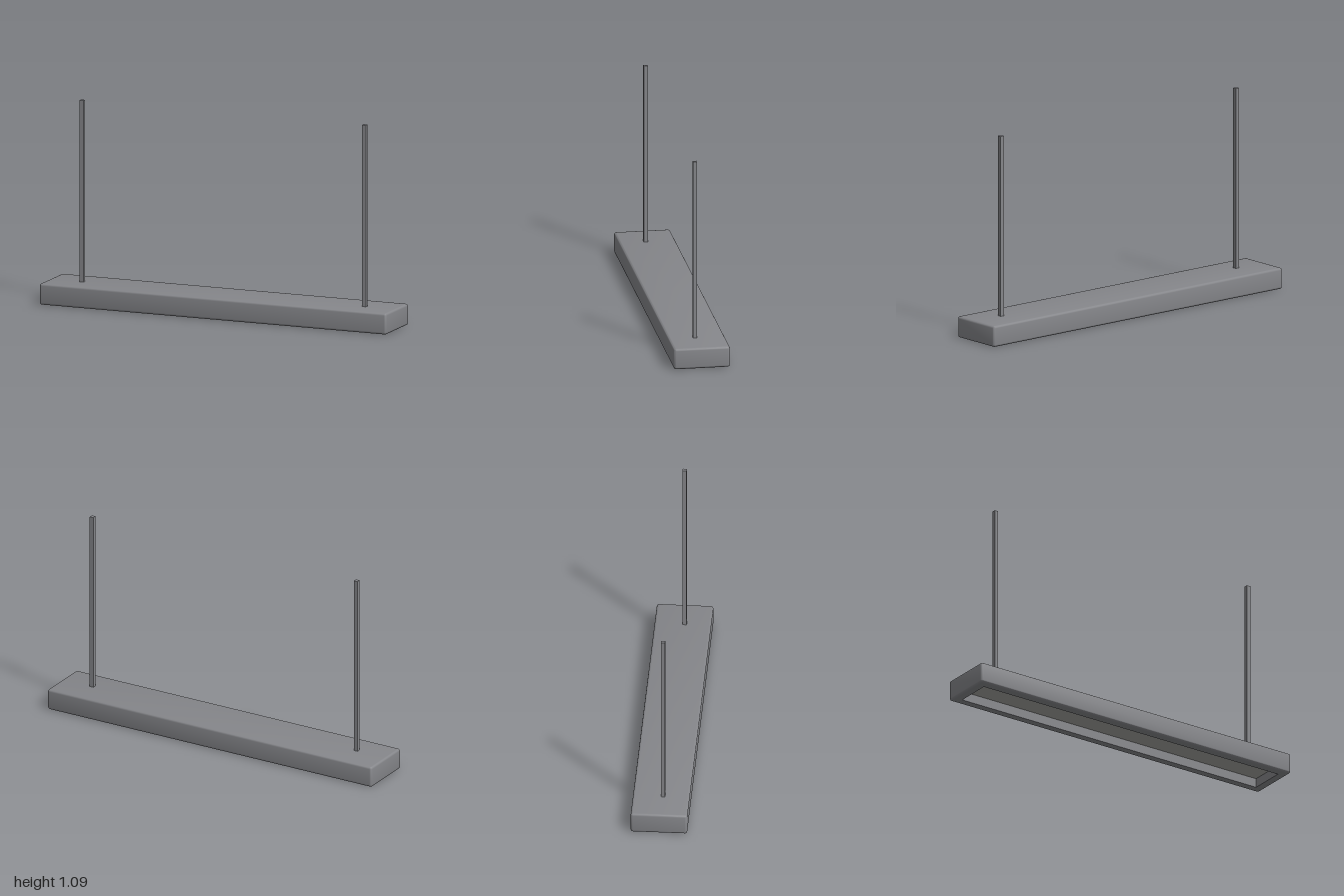
import * as THREE from 'three';
import { toCreasedNormals } from 'three/addons/utils/BufferGeometryUtils.js';

// Rectangular ring in the xz plane with rounded corners
function ring(hx, hz, y, r, steps = 4) {
  const pts = [];
  [[1, 1], [-1, 1], [-1, -1], [1, -1]].forEach(([sx, sz], q) => {
    for (let i = 0; i <= steps; i++) {
      const a = (q + i / steps) * Math.PI / 2;
      pts.push([sx * (hx - r) + r * Math.cos(a), y, sz * (hz - r) + r * Math.sin(a)]);
    }
  });
  return pts;
}

// Joins a sequence of rings into one skin
function skin(rings) {
  const pos = [];
  for (let i = 0; i < rings.length - 1; i++) {
    const u = rings[i], v = rings[i + 1], n = u.length;
    for (let j = 0; j < n; j++) {
      const k = (j + 1) % n;
      if (i > 0) pos.push(...u[j], ...u[k], ...v[j]);
      pos.push(...u[k], ...v[k], ...v[j]);
    }
  }
  const geo = new THREE.BufferGeometry();
  geo.setAttribute('position', new THREE.Float32BufferAttribute(pos, 3));
  return toCreasedNormals(geo, Math.PI / 5);
}

export function createModel() {
  const group = new THREE.Group();
  const metal = new THREE.MeshStandardMaterial({ color: 0x85868a });
  metal.name = 'grey metal';
  const diffuserMat = new THREE.MeshStandardMaterial({ color: 0xa2a29e });
  diffuserMat.name = 'pale diffuser';

  const add = (name, geo, mat, x, y, z) => {
    const mesh = new THREE.Mesh(geo, mat);
    mesh.name = name;
    mesh.position.set(x, y, z);
    group.add(mesh);
  };

  // Housing: closed top, rounded edges, recess open underneath
  const HX = 1, HZ = 0.15, H = 0.114, R = 0.012, RIM = 0.05;
  const rings = [ring(0, 0, H, 0)];
  const N = 4;
  for (let i = 0; i <= N; i++) {
    const a = i / N * Math.PI / 2, d = R * (1 - Math.sin(a));
    rings.push(ring(HX - d, HZ - d, H - R * (1 - Math.cos(a)), R - d));
  }
  for (let i = 0; i <= N; i++) {
    const a = i / N * Math.PI / 2, d = R * (1 - Math.cos(a));
    rings.push(ring(HX - d, HZ - d, R * (1 - Math.sin(a)), R - d));
  }
  rings.push(ring(HX - RIM, HZ - RIM, 0, 0));
  rings.push(ring(HX - RIM, HZ - RIM, 0.054, 0));
  add('housing', skin(rings), metal, 0, 0, 0);

  // Light panel at the bottom of the recess
  add('diffuser', new THREE.BoxGeometry(2 * (HX - RIM), 0.008, 2 * (HZ - RIM)), diffuserMat, 0, 0.054, 0);

  // Hanging rods
  const top = 1.094, base = H - 0.01;
  for (const [name, x] of [['leftRod', 0.817], ['rightRod', -0.813]]) {
    add(name, new THREE.BoxGeometry(0.022, top - base, 0.022), metal, x, (top + base) / 2, 0.01);
  }
  return group;
}
